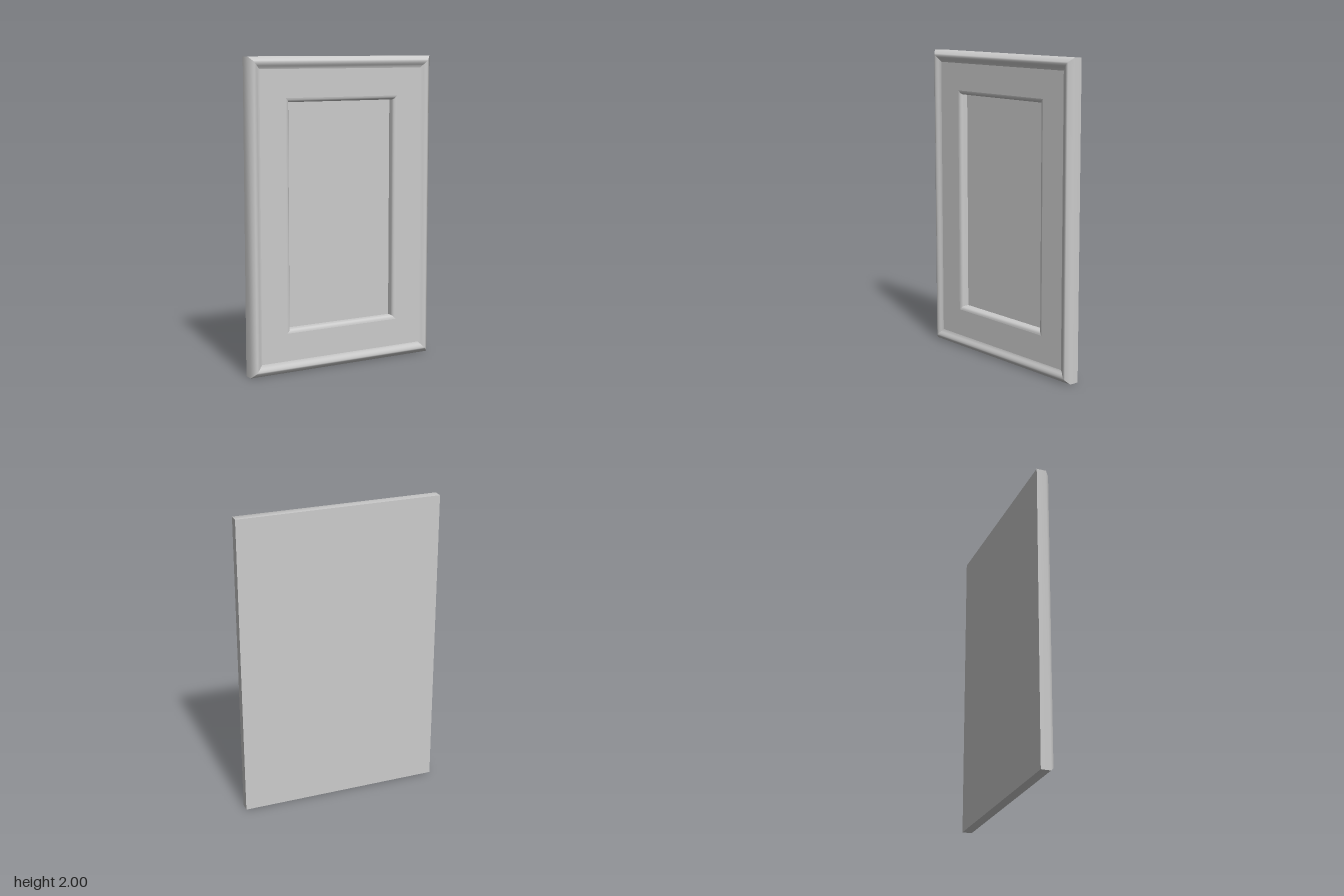
import * as THREE from 'three';

const HALF_W = 0.665, HALF_H = 1;
const PANEL_INSET = 0.282, PANEL_Z = -0.028, BACK_Z = -0.045;

// The four mitred corners of a rectangle set in from the door's outline.
function corners(inset, z) {
  const x = HALF_W - inset, y = HALF_H - inset;
  return [[-x, 1 - y, z], [x, 1 - y, z], [x, 1 + y, z], [-x, 1 + y, z]];
}

// Sweeps a profile of [inset, z] points round the door; smooth along the
// profile, sharp at the mitres.
function mitredFrame(profile) {
  const pos = [], index = [];
  for (let side = 0; side < 4; side++) {
    const base = pos.length / 3;
    profile.forEach(([inset, z], i) => {
      const c = corners(inset, z);
      pos.push(...c[side], ...c[(side + 1) % 4]);
      if (i > 0) {
        const a = base + (i - 1) * 2;
        index.push(a, a + 1, a + 3, a, a + 3, a + 2);
      }
    });
  }
  const geo = new THREE.BufferGeometry();
  geo.setAttribute('position', new THREE.Float32BufferAttribute(pos, 3));
  geo.setIndex(index);
  geo.computeVertexNormals();
  return geo;
}

export function createModel() {
  const door = new THREE.Group();
  door.name = 'cabinetDoor';
  const material = new THREE.MeshStandardMaterial({ color: 0xcccccc });

  const add = (name, geo) => {
    const mesh = new THREE.Mesh(geo, material);
    mesh.name = name;
    door.add(mesh);
    return mesh;
  };

  // Frame, from the outer edge in to the panel
  add('outerMoulding', mitredFrame([
    [0, BACK_Z], [0, 0.018], [0.024, 0.043], [0.033, 0.045], [0.045, 0.0425],
    [0.056, 0.036], [0.066, 0.029], [0.077, 0.026],
  ]));
  add('frameFace', mitredFrame([[0.077, 0.026], [0.256, 0.026]]));
  add('innerBead', mitredFrame([
    [0.256, 0.026], [0.265, 0.0245], [0.273, 0.021], [0.279, 0.014],
    [PANEL_INSET, 0.005], [PANEL_INSET, PANEL_Z],
  ]));

  // Recessed centre panel and flat back
  add('centrePanel', new THREE.PlaneGeometry(2 * (HALF_W - PANEL_INSET), 2 * (HALF_H - PANEL_INSET)))
    .position.set(0, 1, PANEL_Z);
  const back = add('back', new THREE.PlaneGeometry(2 * HALF_W, 2 * HALF_H));
  back.position.set(0, 1, BACK_Z);
  back.rotation.y = Math.PI;

  return door;
}
